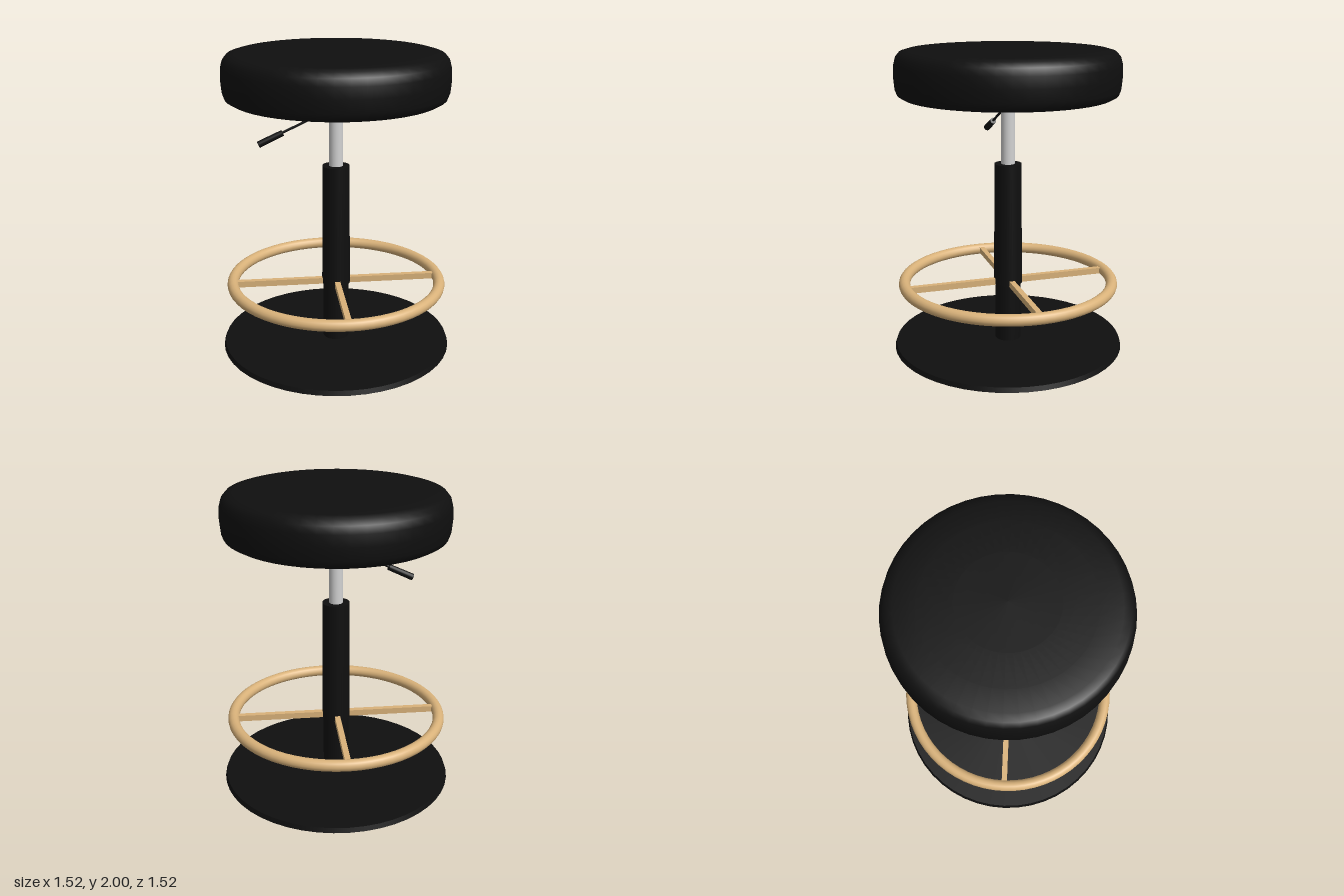
import * as THREE from 'three';

export function createModel() {
  const model = new THREE.Group();
  model.name = 'swivelStool';

  const material = (name, color) => {
    const m = new THREE.MeshStandardMaterial({ color });
    m.name = name;
    return m;
  };
  const black = material('black', 0x0f0f0f);
  const tan = material('tan', 0xd9b27a);
  const silver = material('silver', 0xd2d2d2);

  const add = (name, geometry, mat, parent = model) => {
    const mesh = new THREE.Mesh(geometry, mat);
    mesh.name = name;
    parent.add(mesh);
    return mesh;
  };
  // Upright cylinder between two heights
  const post = (name, rTop, rBottom, y0, y1, mat, sides = 32) => {
    const mesh = add(name, new THREE.CylinderGeometry(rTop, rBottom, y1 - y0, sides), mat);
    mesh.position.y = (y0 + y1) / 2;
    return mesh;
  };

  // Floor plate: a wide thin disc over a smaller glide
  post('baseGlide', 0.72, 0.7, 0, 0.035, black, 48);
  post('basePlate', 0.75, 0.76, 0.03, 0.06, black, 48);

  // Column and gas lift
  post('lowerColumn', 0.085, 0.085, 0.05, 0.46, black);
  post('upperColumn', 0.088, 0.093, 0.45, 1.26, black);
  post('piston', 0.045, 0.045, 1.24, 1.64, silver, 24);

  // Seat mount
  post('mountHub', 0.13, 0.12, 1.62, 1.66, black);
  post('mountFlange', 0.18, 0.175, 1.65, 1.7, black);

  // Cushion with a domed top and softly rounded edges
  const profile = [
    [0, 1.685], [0.4, 1.685], [0.6, 1.69], [0.66, 1.695], [0.695, 1.715], [0.708, 1.75],
    [0.715, 1.83], [0.712, 1.9], [0.7, 1.945], [0.675, 1.975], [0.63, 1.988], [0.5, 1.996],
    [0.3, 2], [0, 2],
  ].map(([r, y]) => new THREE.Vector2(r, y));
  add('seatCushion', new THREE.LatheGeometry(profile, 48), black);

  // Foot ring with four spokes
  const footRest = new THREE.Group();
  footRest.name = 'footRest';
  footRest.position.y = 0.465;
  model.add(footRest);
  const ring = add('footRing', new THREE.TorusGeometry(0.687, 0.037, 16, 64), tan, footRest);
  ring.rotation.x = Math.PI / 2;
  for (let i = 0; i < 4; i++) {
    const spoke = new THREE.BoxGeometry(0.61, 0.04, 0.036).translate(0.37, 0, 0);
    add('footRingSpoke', spoke, tan, footRest).rotation.y = i * Math.PI / 2;
  }

  // Height lever: bent rod and grip
  const rod = new THREE.CurvePath();
  const points = [[-0.07, 1.68], [-0.105, 1.635], [-0.115, 1.59], [-0.36, 1.475]]
    .map(([x, y]) => new THREE.Vector3(x, y, 0));
  for (let i = 0; i < 3; i++) rod.add(new THREE.LineCurve3(points[i], points[i + 1]));
  add('leverRod', new THREE.TubeGeometry(rod, 24, 0.008, 8), black);
  const grip = add('leverGrip', new THREE.CylinderGeometry(0.02, 0.022, 0.17, 16), black);
  grip.position.set(-0.415, 1.447, 0);
  grip.quaternion.setFromUnitVectors(
    new THREE.Vector3(0, 1, 0), new THREE.Vector3(0.245, 0.115, 0).normalize());

  return model;
}
